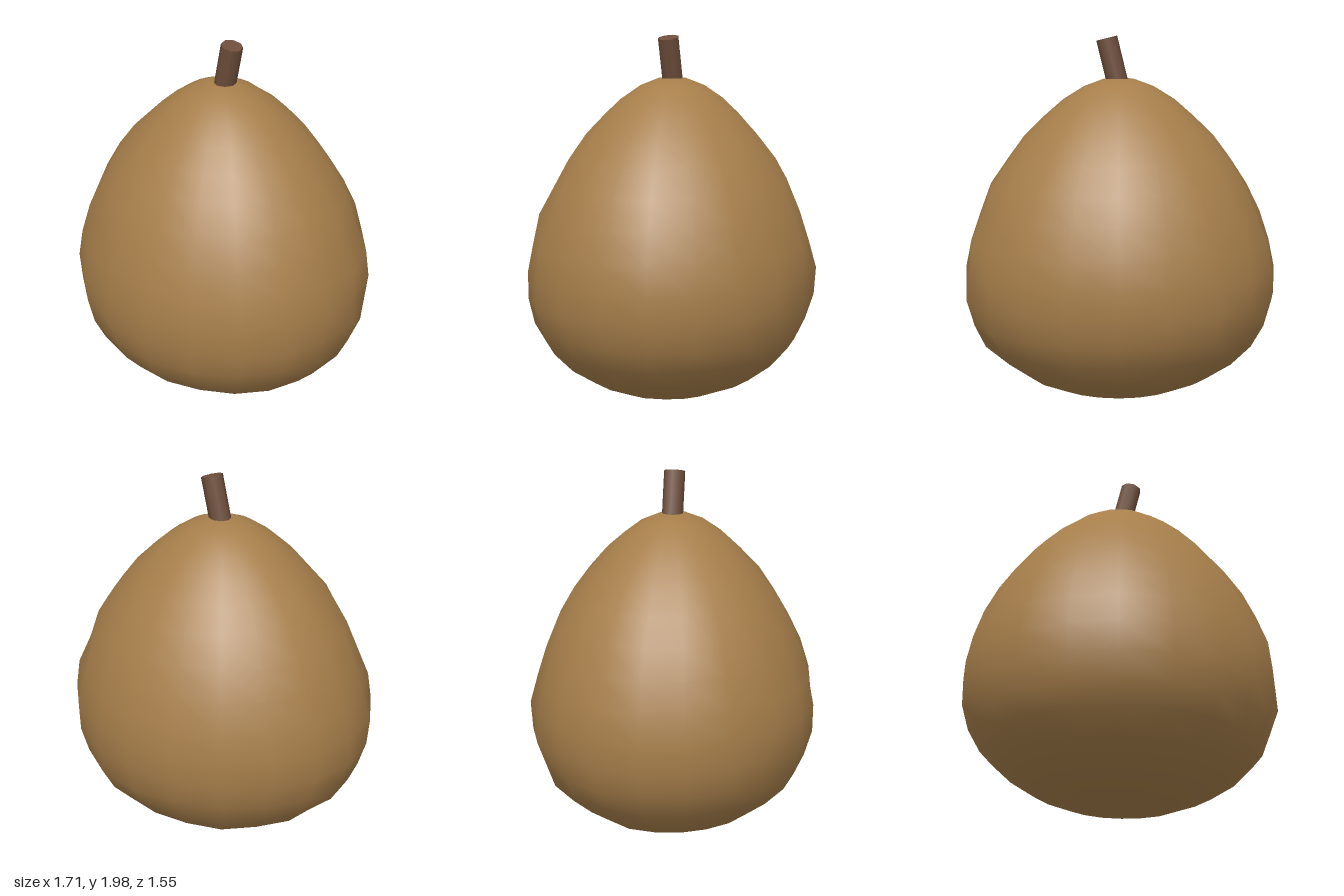
import * as THREE from 'three';

export function createModel() {
  const group = new THREE.Group();
  const skin = new THREE.MeshStandardMaterial({ color: 0xa67e4a });
  skin.name = 'tanSkin';
  const wood = new THREE.MeshStandardMaterial({ color: 0x6f4f3c });
  wood.name = 'brownStem';

  // Fruit body: lathed profile (radius, height), flattened front to back
  const profile = [
    [0, 0.02], [0.18, 0.03], [0.35, 0.07], [0.5, 0.13], [0.64, 0.22],
    [0.75, 0.33], [0.815, 0.45], [0.85, 0.59], [0.852, 0.74], [0.825, 0.89],
    [0.77, 1.05], [0.70, 1.2], [0.61, 1.34], [0.51, 1.465], [0.4, 1.575],
    [0.3, 1.66], [0.19, 1.73], [0.08, 1.77], [0, 1.76],
  ].map(([r, y]) => new THREE.Vector2(r, y));
  const sides = 20;
  const bodyGeometry = new THREE.LatheGeometry(profile, sides);
  bodyGeometry.scale(1, 1, 0.91);

  // Slight lumps; the smooth normals of the lathe are kept
  let seed = 7;
  const random = () => (seed = (seed * 16807) % 2147483647) / 2147483647;
  const lumps = Array.from({ length: sides * profile.length }, () => 1 + (random() - 0.5) * 0.03);
  const position = bodyGeometry.attributes.position;
  for (let i = 0; i <= sides; i++) {
    for (let j = 0; j < profile.length; j++) {
      const k = i * profile.length + j;
      const lump = lumps[(i % sides) * profile.length + j];
      position.setX(k, position.getX(k) * lump);
      position.setZ(k, position.getZ(k) * lump);
    }
  }
  const body = new THREE.Mesh(bodyGeometry, skin);
  body.name = 'fruitBody';

  // Leaning stem
  const stem = new THREE.Mesh(new THREE.CylinderGeometry(0.058, 0.058, 0.27, 8), wood);
  stem.name = 'stem';
  stem.position.set(0.033, 1.856, -0.007);
  stem.rotation.z = -0.24;

  group.add(body, stem);
  return group;
}
